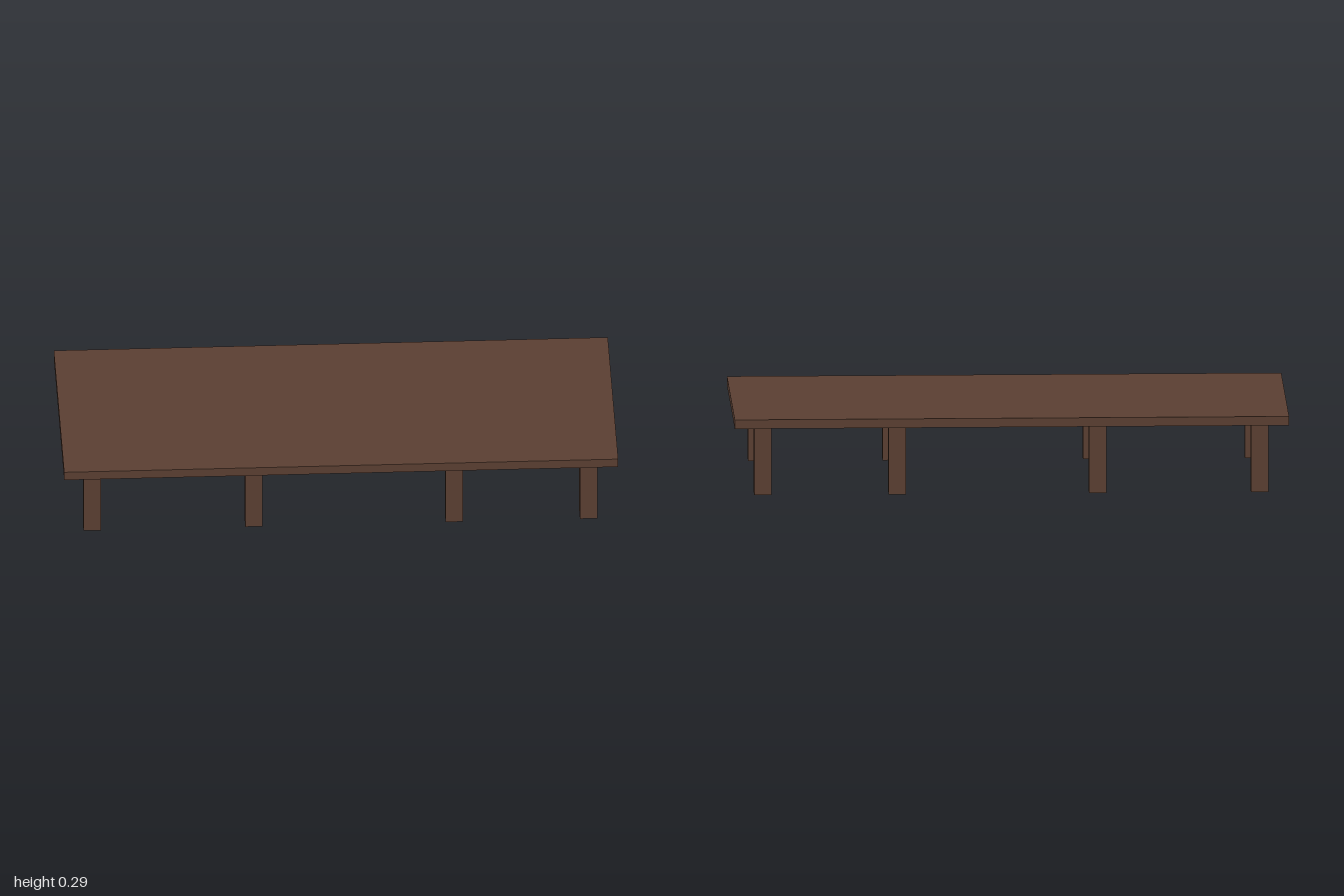
import * as THREE from 'three';

export function createModel() {
  const model = new THREE.Group();
  model.name = 'lowTable';
  const wood = new THREE.MeshStandardMaterial({ color: 0x5c4033 });

  const topY = 0.289, legHeight = 0.256;

  function addBox(name, [w, h, d], [x, y, z]) {
    const mesh = new THREE.Mesh(new THREE.BoxGeometry(w, h, d), wood);
    mesh.name = name;
    mesh.position.set(x, y, z);
    model.add(mesh);
  }

  // Table top
  addBox('tableTop', [2, topY - legHeight, 0.832], [0, (topY + legHeight) / 2, 0]);

  // Four legs along each long side, unevenly spaced
  const legNames = ['RightEndLeg', 'RightInnerLeg', 'LeftInnerLeg', 'LeftEndLeg'];
  [-0.896, -0.312, 0.411, 0.896].forEach((x, i) => {
    for (const side of [1, -1]) {
      addBox((side > 0 ? 'front' : 'back') + legNames[i],
        [0.063, legHeight, 0.056], [x, legHeight / 2, side * 0.325]);
    }
  });

  return model;
}
